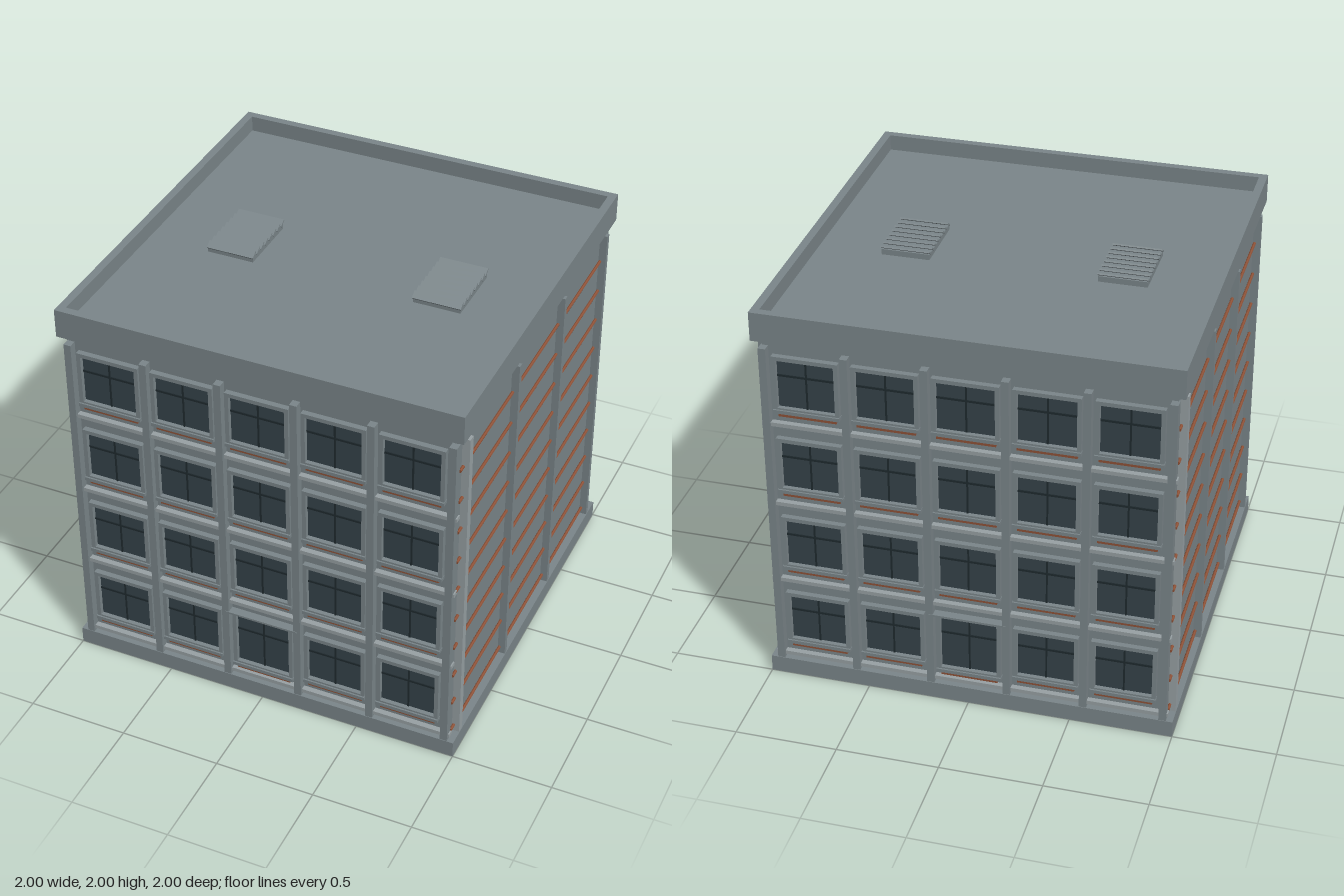
import * as THREE from 'three';

const mat = (color) => new THREE.MeshStandardMaterial({ color, flatShading: true });
const wall = mat(0x7b868a), trim = mat(0x98a1a4), glass = mat(0x36434a), bar = mat(0x1f2a2e), brick = mat(0x8e5238);

// Box given by its two opposite corners
function box(parent, name, material, x0, x1, y0, y1, z0, z1) {
  const mesh = new THREE.Mesh(new THREE.BoxGeometry(x1 - x0, y1 - y0, z1 - z0), material);
  mesh.position.set((x0 + x1) / 2, (y0 + y1) / 2, (z0 + z1) / 2);
  mesh.name = name;
  parent.add(mesh);
  return mesh;
}

// Framed, recessed window with cross bars, sill and brick apron; y0 is the sill top
function makeWindow(name, y0, top, barY) {
  const g = new THREE.Group();
  g.name = name;
  const s = new THREE.Shape();
  s.moveTo(-0.158, y0 - 0.005).lineTo(0.158, y0 - 0.005).lineTo(0.158, top).lineTo(-0.158, top).closePath();
  const hole = new THREE.Path();
  hole.moveTo(-0.138, y0 + 0.012).lineTo(-0.138, top - 0.02).lineTo(0.138, top - 0.02).lineTo(0.138, y0 + 0.012).closePath();
  s.holes.push(hole);
  const frame = new THREE.Mesh(new THREE.ExtrudeGeometry(s, { depth: 0.035, bevelEnabled: false }), wall);
  frame.position.z = 0.95;
  frame.name = 'windowFrame';
  g.add(frame);
  box(g, 'glass', glass, -0.14, 0.14, y0, top - 0.01, 0.95, 0.963);
  box(g, 'verticalBar', bar, -0.004, 0.004, y0 + 0.01, top - 0.02, 0.96, 0.968);
  box(g, 'crossBar', bar, -0.138, 0.138, barY - 0.005, barY + 0.005, 0.96, 0.968);
  box(g, 'sill', wall, -0.16, 0.16, y0 - 0.015, y0 + 0.003, 0.95, 0.993);
  box(g, 'brickApron', brick, -0.14, 0.14, y0 - 0.037, y0 - 0.015, 0.95, 0.978);
  return g;
}

// Window side of the building, facing +z
function makeFacade() {
  const g = new THREE.Group();
  for (let row = 0; row < 4; row++) {
    const y = 0.19 + row * 0.436;
    for (let col = -2; col <= 2; col++) {
      const entrance = row === 0 && col === 0;
      const w = entrance ? makeWindow('entrance', 0.165, 0.485, 0.374)
        : makeWindow('window', y, y + 0.28, y + 0.176);
      w.position.x = col * 0.377;
      g.add(w);
    }
    // Storey ledge
    const ly = 0.108 + row * 0.436;
    box(g, 'storeyLedge', trim, -0.974, 0.974, ly - 0.01, ly + 0.01, 0.95, 0.985);
  }
  box(g, 'canopy', wall, -0.19, 0.19, 0.478, 0.488, 0.95, 1);
  for (const x of [-0.949, -0.563, -0.188, 0.188, 0.563, 0.949])
    box(g, 'facadePilaster', wall, x - 0.018, x + 0.018, 0.08, 1.818, 0.95, 0.997);
  return g;
}

// Plain side of the building with brick bands, facing +x
function makeSide() {
  const g = new THREE.Group();
  for (let i = 0; i < 10; i++) {
    const band = new THREE.Mesh(new THREE.CylinderGeometry(0.008, 0.008, 1.91, 8), brick);
    band.rotation.x = Math.PI / 2;
    band.position.set(0.968, 0.121 + i * 0.1722, 0);
    band.name = 'brickBand';
    g.add(band);
  }
  for (const z of [-0.9, -0.3, 0.3])
    box(g, 'sidePilaster', wall, 0.95, 0.997, 0.08, 1.82, z - 0.014, z + 0.014);
  box(g, 'cornerPost', trim, 0.95, 0.997, 0.08, 1.82, 0.877, 0.915);
  return g;
}

// Rooftop vent with slanted slats
function makeVent(x) {
  const g = new THREE.Group();
  g.name = 'roofVent';
  box(g, 'ventBase', wall, -0.118, 0.118, 1.91, 1.948, -0.165, 0.165);
  for (let i = 0; i < 8; i++) {
    const z = -0.157 + i * 0.0443;
    const slat = box(g, 'ventSlat', wall, -0.121, 0.121, 1.95, 1.958, z - 0.02, z + 0.02);
    slat.rotation.x = 0.6;
  }
  g.position.x = x;
  return g;
}

export function createModel() {
  const model = new THREE.Group();
  model.name = 'building';
  box(model, 'plinth', wall, -1, 1, 0, 0.085, -1, 1);
  box(model, 'body', wall, -0.96, 0.96, 0.08, 1.86, -0.957, 0.957);

  // Roof slab and parapet
  box(model, 'roof', wall, -0.98, 0.98, 1.855, 1.92, -0.98, 0.98);
  for (const s of [-1, 1]) {
    box(model, 'parapet', wall, -1, 1, 1.855, 2, s * 0.98 - 0.02, s * 0.98 + 0.02);
    box(model, 'parapet', wall, s * 0.98 - 0.02, s * 0.98 + 0.02, 1.855, 2, -0.96, 0.96);
    model.add(makeVent(s * 0.527));
  }

  // Opposite sides repeat by a half turn
  for (const turn of [0, Math.PI]) {
    const facade = makeFacade(), side = makeSide();
    facade.name = turn ? 'backFacade' : 'frontFacade';
    side.name = turn ? 'rightSide' : 'leftSide';
    facade.rotation.y = side.rotation.y = turn;
    model.add(facade, side);
  }
  return model;
}
